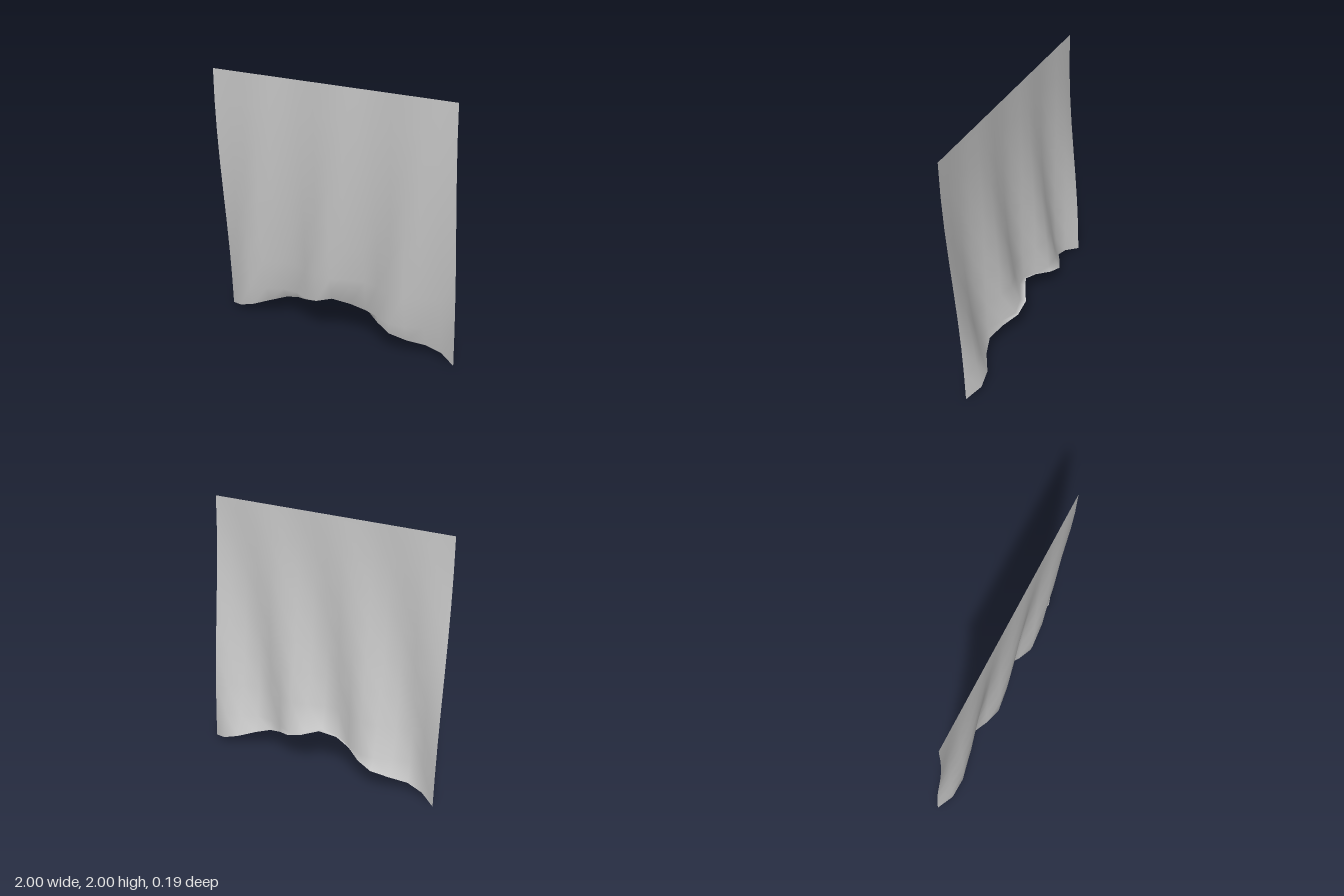
import * as THREE from 'three';

const HEIGHT = 2;
const RIPPLE = 9.6; // radians per unit of width

// Depth of the hanging cloth: it swings back and ripples more towards the hem.
function clothDepth(x, y) {
  const drop = HEIGHT - y;
  const sway = 0.085 - 0.03 * drop * drop;
  const ripple = -0.0325 * drop * Math.cos(RIPPLE * (x - 0.18 - 0.16 * y));
  return sway + ripple;
}

// Height of the notched hem, highest at the middle.
const hemHeight = (x) => 0.005 + 0.315 * (1 - Math.abs(x));

export function createModel() {
  const group = new THREE.Group();
  group.name = 'banner';

  // Cloth sheet: rows below the hem are gathered up onto it.
  const geometry = new THREE.PlaneGeometry(2, HEIGHT, 16, 8);
  geometry.translate(0, HEIGHT / 2, 0);
  const pos = geometry.attributes.position;
  for (let i = 0; i < pos.count; i++) {
    const x = pos.getX(i);
    const y = pos.getY(i);
    pos.setXYZ(i, x, Math.max(y, hemHeight(x)), clothDepth(x, y));
  }
  geometry.computeVertexNormals();

  const cloth = new THREE.Mesh(
    geometry,
    new THREE.MeshStandardMaterial({ color: 0xcccccc, side: THREE.DoubleSide })
  );
  cloth.name = 'bannerCloth';
  group.add(cloth);
  return group;
}
